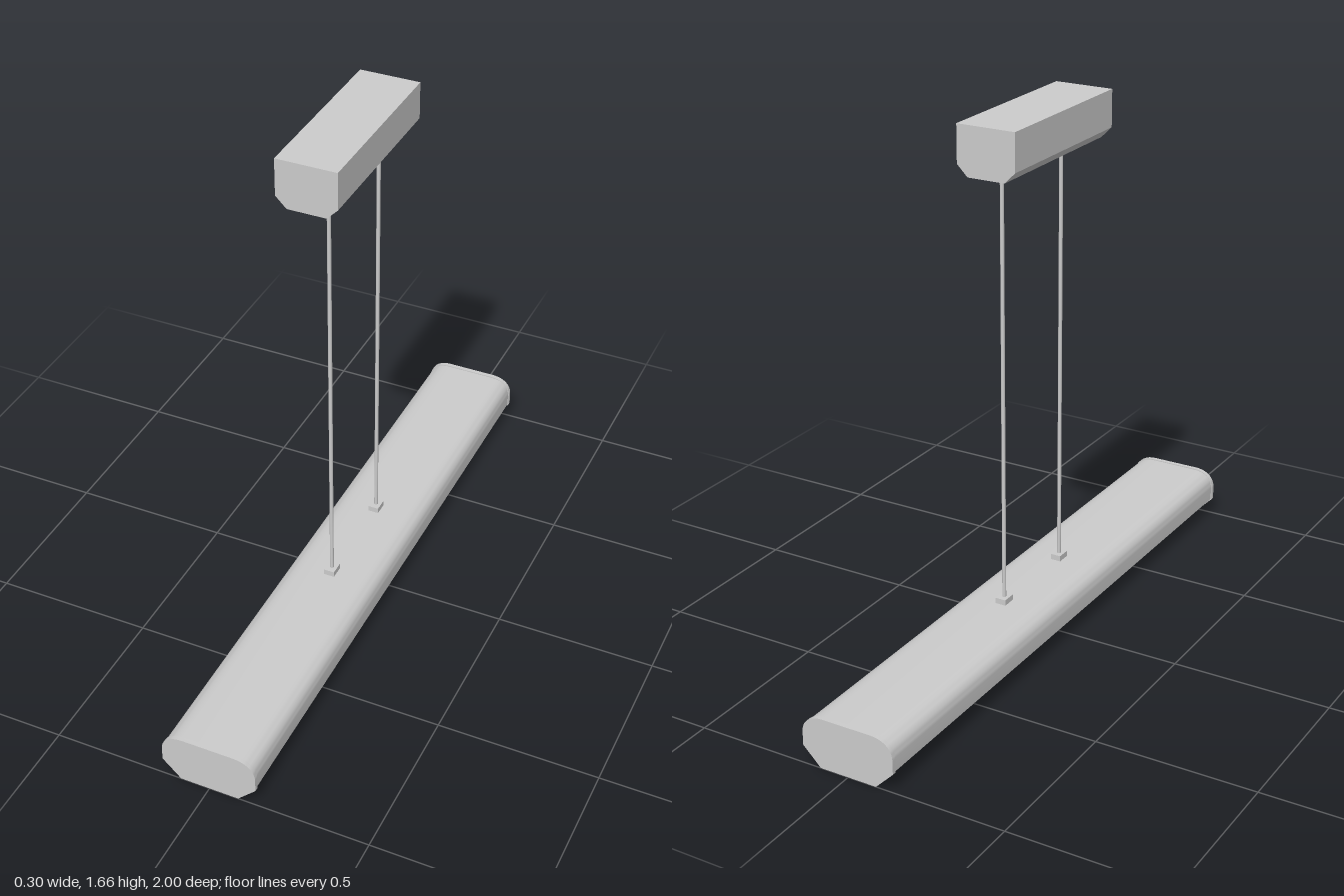
import * as THREE from 'three';
import { toCreasedNormals } from 'three/addons/utils/BufferGeometryUtils.js';

const material = new THREE.MeshStandardMaterial({ color: 0xcccccc });

// Extrude an x-y outline along z, centred on z
function prism(shape, length, z = 0) {
  const g = new THREE.ExtrudeGeometry(shape, { depth: length, bevelEnabled: false, curveSegments: 10 });
  g.translate(0, 0, z - length / 2);
  return toCreasedNormals(g, 0.5);
}

const polygon = (points) => new THREE.Shape(points.map(([x, y]) => new THREE.Vector2(x, y)));

// Upper outline: straight sides rising into rounded shoulders, starting at height y0
function addRoof(s, inset, y0) {
  const w = 0.149 - inset, top = 0.158 - inset;
  s.lineTo(w, y0);
  s.lineTo(w, 0.1);
  s.bezierCurveTo(w, 0.135, 0.12, top, 0.08, top);
  s.lineTo(-0.08, top);
  s.bezierCurveTo(-0.12, top, -w, 0.135, -w, 0.1);
  s.lineTo(-w, y0);
  s.closePath();
  return s;
}

export function createModel() {
  const model = new THREE.Group();
  const add = (name, geometry, x = 0, y = 0, z = 0) => {
    const mesh = new THREE.Mesh(geometry, material);
    mesh.name = name;
    mesh.position.set(x, y, z);
    model.add(mesh);
  };

  // Lamp body: rounded shell above a slightly recessed tapered diffuser
  const shell = new THREE.Shape();
  shell.moveTo(-0.146, 0.058);
  add('lampShell', prism(addRoof(shell, 0.003, 0.058), 1.974));
  add('diffuser', prism(polygon([
    [-0.088, 0.011], [0.088, 0.011], [0.138, 0.06], [-0.138, 0.06],
  ]), 1.974));

  // End caps, a little proud of the body
  const cap = new THREE.Shape();
  cap.moveTo(-0.092, 0);
  cap.lineTo(0.092, 0);
  addRoof(cap, 0, 0.057);
  for (const side of [1, -1]) {
    add(side > 0 ? 'frontEndCap' : 'backEndCap', prism(cap, 0.014, side * 0.993));
  }

  // Ceiling canopy with chamfered lower edges, set slightly off centre
  add('ceilingCanopy', prism(polygon([
    [-0.075, 1.515], [0.044, 1.515], [0.078, 1.549],
    [0.078, 1.664], [-0.109, 1.664], [-0.109, 1.549],
  ]), 0.555));

  // Suspension rods with a mounting block at each end
  for (const z of [0.17, -0.167]) {
    add('suspensionRod', new THREE.CylinderGeometry(0.006, 0.006, 1.35, 12), 0, 0.837, z);
    add('lowerMount', new THREE.BoxGeometry(0.034, 0.02, 0.045), 0, 0.163, z);
    add('upperMount', new THREE.BoxGeometry(0.034, 0.018, 0.045), 0, 1.507, z);
  }
  return model;
}
